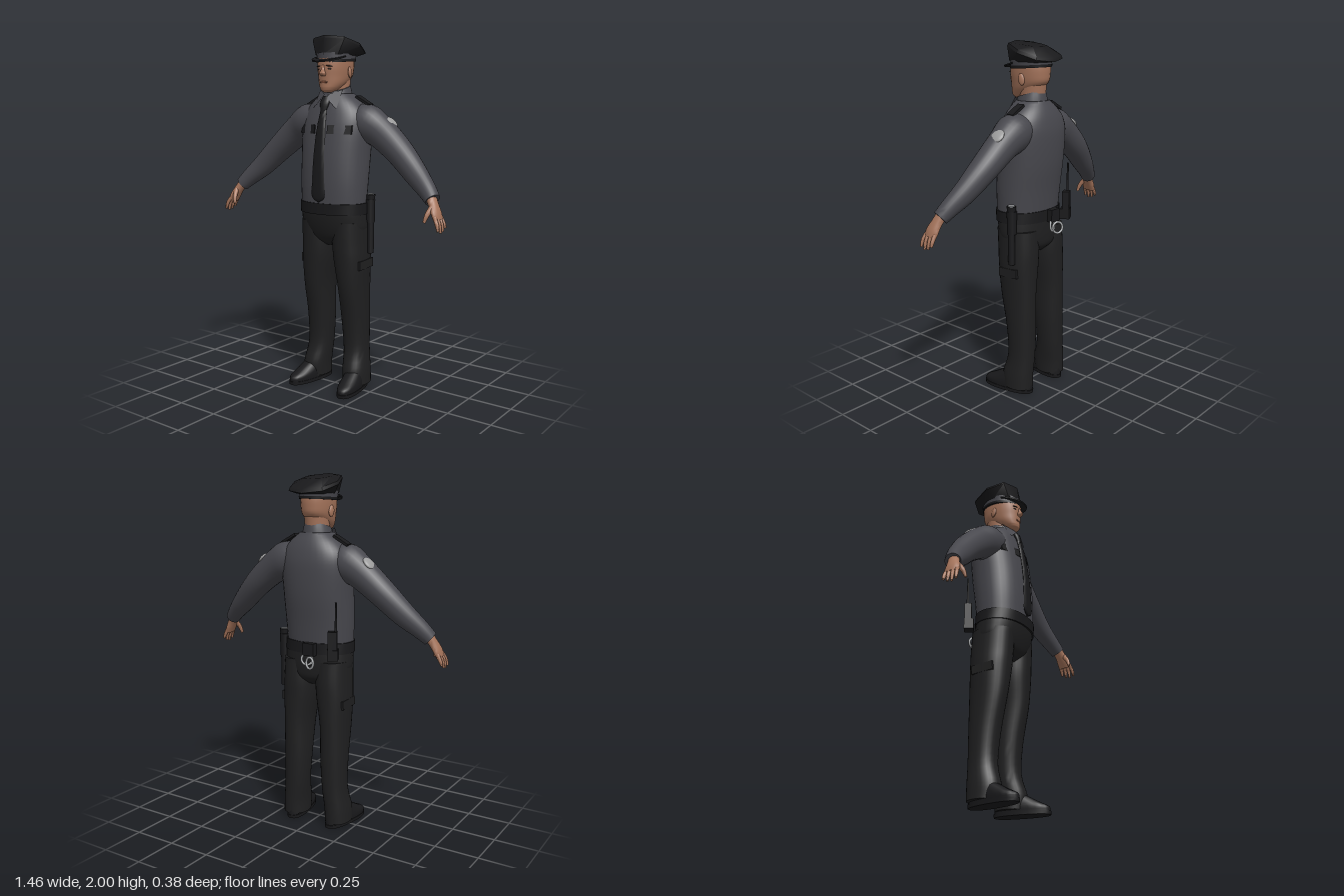
import * as THREE from 'three';
import { toCreasedNormals } from 'three/addons/utils/BufferGeometryUtils.js';

const material = (name, color) => {
  const m = new THREE.MeshStandardMaterial({ color });
  m.name = name;
  return m;
};

// Skin over sections [x, y, z, radiusA, radiusB, tilt]; level keeps the rings horizontal, p sets squareness
function loft(sections, { n = 24, steps = 4, level = false, p = 2, crease = 0.9 } = {}) {
  const centres = new THREE.CatmullRomCurve3(sections.map(s => new THREE.Vector3(s[0], s[1], s[2])), false, 'catmullrom');
  const radii = new THREE.CatmullRomCurve3(sections.map(s => new THREE.Vector3(s[3], s[4], s[5] || 0)), false, 'catmullrom');
  const last = (sections.length - 1) * steps, pos = [], index = [];
  const ref = new THREE.Vector3(0, 0, 1), up = new THREE.Vector3(0, 1, 0);
  const pw = v => Math.sign(v) * Math.pow(Math.abs(v), 2 / p);
  const rising = sections[sections.length - 1][1] > sections[0][1];
  const ring = (t, k) => {
    const c = centres.getPoint(t), r = radii.getPoint(t);
    const T = level ? up.clone().multiplyScalar(rising ? 1 : -1) : centres.getTangent(t);
    const A = T.clone().cross(ref).normalize(), B = A.clone().cross(T).normalize();
    for (let j = 0; j < n; j++) {
      const a = j / n * Math.PI * 2;
      const v = A.clone().multiplyScalar(pw(Math.cos(a)) * r.x * k).addScaledVector(B, pw(Math.sin(a)) * r.y * k);
      v.y += r.z * v.z;
      pos.push(c.x + v.x, c.y + v.y, c.z + v.z);
    }
  };
  ring(0, 0);
  for (let i = 0; i <= last; i++) ring(i / last, 1);
  ring(1, 0);
  for (let i = 0; i < last + 2; i++) for (let j = 0; j < n; j++) {
    const a = i * n + j, c = i * n + (j + 1) % n;
    index.push(a, a + n, c, a + n, c + n, c);
  }
  const g = new THREE.BufferGeometry();
  g.setAttribute('position', new THREE.Float32BufferAttribute(pos, 3));
  g.setIndex(index);
  return toCreasedNormals(g, crease);
}

export function createModel() {
  const model = new THREE.Group();
  model.name = 'uniformedOfficer';
  const shirt = material('shirtGrey', 0x47474d), trousers = material('trouserBlack', 0x1f1f20);
  const black = material('gearBlack', 0x19191b), skin = material('skin', 0xa5745b);
  const patch = material('patchGrey', 0x9c9c9c), metal = material('metal', 0xa6a8aa);
  const lip = material('lip', 0x85543f), dark = material('eyeDark', 0x33251f);
  shirt.side = THREE.DoubleSide;

  const add = (name, geo, mat, at = [0, 0, 0], rot = [0, 0, 0], scale = [1, 1, 1]) => {
    const m = new THREE.Mesh(geo, mat);
    m.name = name;
    m.position.set(...at);
    m.rotation.set(...rot);
    m.scale.set(...scale);
    model.add(m);
    return m;
  };
  const ball = new THREE.SphereGeometry(1, 20, 14);
  const box = (x, y, z) => new THREE.BoxGeometry(x, y, z);
  const body = { level: true, p: 2.2, n: 36 };

  // Shirt body and collar
  add('shirtBody', loft([[0, 1.06, 0.008, 0.197, 0.14], [0, 1.2, 0.002, 0.203, 0.15], [0, 1.35, -0.012, 0.206, 0.157],
    [0, 1.5, -0.025, 0.212, 0.15], [0, 1.58, -0.03, 0.198, 0.135], [0, 1.64, -0.03, 0.152, 0.115],
    [0, 1.69, -0.028, 0.09, 0.088]], body), shirt);
  add('collar', loft([[0, 1.65, -0.02, 0.092, 0.094, -0.2], [0, 1.69, -0.02, 0.082, 0.087, -0.26],
    [0, 1.722, -0.02, 0.073, 0.08, -0.28]], { level: true }), shirt);

  // Tie with its knot
  add('tie', loft([[0, 1.095, 0.154, 0.006, 0.006], [0, 1.125, 0.156, 0.044, 0.009], [0, 1.2, 0.156, 0.043, 0.009],
    [0, 1.35, 0.149, 0.037, 0.009], [0, 1.5, 0.128, 0.029, 0.009], [0, 1.6, 0.104, 0.02, 0.01]], { level: true, n: 12 }), black);
  add('tieKnot', loft([[0, 1.595, 0.105, 0.018, 0.012], [0, 1.64, 0.092, 0.029, 0.018], [0, 1.675, 0.075, 0.022, 0.014]],
    { level: true, n: 12 }), black);

  // Trousers seat and belt
  add('trouserSeat', loft([[0, 0.84, -0.015, 0.06, 0.07], [0, 0.88, -0.014, 0.15, 0.112], [0, 0.93, -0.008, 0.198, 0.128],
    [0, 1.0, 0, 0.203, 0.138], [0, 1.08, 0.006, 0.2, 0.142]], body), trousers);
  add('belt', loft([[0, 1.025, 0.005, 0.207, 0.146], [0, 1.088, 0.007, 0.206, 0.147]], { ...body, steps: 1 }), black);

  for (const s of [1, -1]) {
    const dz = s < 0 ? 0.04 : 0; // the right arm sits slightly further forward
    const P = (x, y, z, ...r) => [x * s, y, z + dz, ...r];

    // Sleeve
    add('sleeve', loft([P(0.09, 1.56, -0.045, 0.07, 0.085), P(0.18, 1.53, -0.05, 0.106, 0.1), P(0.275, 1.478, -0.055, 0.09, 0.085),
      P(0.4, 1.378, -0.047, 0.077, 0.076), P(0.515, 1.27, -0.022, 0.066, 0.06), P(0.6, 1.195, 0.008, 0.052, 0.049),
      P(0.65, 1.145, 0.03, 0.042, 0.043)]), shirt);
    add('sleevePatch', ball, patch, P(0.33, 1.533, -0.07), [0, 0, -s * 0.78], [0.043, 0.015, 0.042]);
    add('shoulderTab', box(0.1, 0.014, 0.045), black, P(0.165, 1.65, -0.05 - dz * 0.7), [0, 0, -s * 0.5]);

    // Hand with fingers and thumb
    add('palm', loft([P(0.635, 1.165, 0.028, 0.028, 0.032), P(0.664, 1.12, 0.042, 0.024, 0.034), P(0.686, 1.08, 0.053, 0.021, 0.043),
      P(0.699, 1.048, 0.057, 0.016, 0.04)], { n: 16 }), skin);
    for (let f = 0; f < 4; f++) {
      const z = 0.025 + f * 0.021, drop = [0.055, 0.07, 0.075, 0.065][f];
      add('finger', loft([P(0.695, 1.065, z, 0.011, 0.011), P(0.714, 1.03, z + 0.003 * f, 0.0105, 0.0105),
        P(0.724, 1.06 - drop, z + 0.004 * f, 0.007, 0.007)], { n: 10 }), skin);
    }
    add('thumb', loft([P(0.668, 1.115, 0.065, 0.016, 0.016), P(0.655, 1.075, 0.095, 0.013, 0.013),
      P(0.645, 1.035, 0.108, 0.008, 0.008)], { n: 10 }), skin);

    // Trouser leg, with a flap for the thigh pocket
    const L = (y, x, z, rx, rz) => [s * (x + (s < 0 ? 0.017 * Math.max(0, 1 - y / 0.9) : 0)), y, z, rx, rz];
    add('trouserLeg', loft([L(0.03, 0.135, -0.035, 0.073, 0.09), L(0.11, 0.133, -0.033, 0.072, 0.094), L(0.23, 0.122, -0.05, 0.07, 0.08),
      L(0.4, 0.118, -0.045, 0.075, 0.088), L(0.6, 0.118, -0.026, 0.08, 0.108), L(0.76, 0.11, -0.018, 0.095, 0.118),
      L(0.86, 0.106, -0.015, 0.097, 0.122), L(0.98, 0.105, -0.008, 0.095, 0.122)], { ...body, n: 28 }), trousers);
    add('pocketFlap', box(0.014, 0.05, 0.13), trousers, [s * 0.2, 0.74, -0.02], [s * 0.06, 0, 0]);

    // Shoe and sole, toes turned out
    const shoeAt = [s * (s < 0 ? 0.153 : 0.143), 0, 0], turn = [0, s * 0.17, 0];
    add('shoe', loft([[0, 0.015, 0.028, 0.054, 0.157], [0, 0.045, 0.026, 0.056, 0.153], [0, 0.075, 0, 0.054, 0.122],
      [0, 0.12, -0.035, 0.045, 0.075]], { level: true, p: 2.4 }), black, shoeAt, turn);
    add('sole', loft([[0, 0, 0.028, 0.056, 0.159], [0, 0.02, 0.028, 0.057, 0.161]], { level: true, p: 2.4, steps: 1 }), black, shoeAt, turn);

    // Chest pocket flap curved over the shirt
    const flap = box(0.128, 0.048, 0.012, 14, 1, 1), v = flap.attributes.position;
    for (let i = 0; i < v.count; i++) {
      const x = Math.abs(v.getX(i) + s * 0.107);
      v.setZ(i, v.getZ(i) - 0.025 + 0.152 * Math.pow(1 - Math.pow(x / 0.218, 2.2), 1 / 2.2) - v.getY(i) * 0.17);
    }
    flap.computeVertexNormals();
    add('chestPocketFlap', flap, black, [s * 0.107, 1.495, 0]);

    // Collar point
    const lapel = new THREE.BufferGeometry().setFromPoints([[0.012, 1.685, 0.078], [0.077, 1.712, 0.03], [0.08, 1.605, 0.096],
      [0.012, 1.685, 0.078], [0.08, 1.605, 0.096], [0.022, 1.66, 0.1]].map(q => new THREE.Vector3(q[0] * s, q[1], q[2])));
    if (s > 0) lapel.setIndex([0, 2, 1, 3, 5, 4]); else lapel.setIndex([0, 1, 2, 3, 4, 5]);
    lapel.computeVertexNormals();
    add('collarPoint', lapel, shirt);

    // Ear, eye and brow
    add('ear', ball, skin, [s * 0.087, 1.805, -0.022], [0.15, s * 0.3, 0], [0.01, 0.032, 0.019]);
    add('eye', ball, dark, [s * 0.034, 1.822, 0.098], [0, s * 0.3, 0], [0.013, 0.005, 0.005]);
    add('brow', ball, dark, [s * 0.035, 1.838, 0.1], [0, s * 0.3, -s * 0.1], [0.02, 0.004, 0.006]);
  }

  // Neck, head, nose and mouth
  add('neck', loft([[0, 1.66, -0.025, 0.063, 0.07], [0, 1.78, -0.03, 0.068, 0.08]], { level: true }), skin);
  add('head', loft([[0, 1.696, 0.06, 0.022, 0.027], [0, 1.712, 0.047, 0.046, 0.056], [0, 1.745, 0.02, 0.068, 0.084],
    [0, 1.785, -0.006, 0.08, 0.113], [0, 1.83, -0.01, 0.087, 0.12], [0, 1.88, -0.012, 0.088, 0.118],
    [0, 1.92, -0.015, 0.078, 0.1]], { level: true, p: 2.15, crease: 1.4 }), skin);
  add('nose', loft([[0, 1.783, 0.104, 0.014, 0.01], [0, 1.797, 0.112, 0.018, 0.021], [0, 1.815, 0.109, 0.011, 0.015],
    [0, 1.843, 0.103, 0.008, 0.008]], { level: true, n: 12, crease: 1.4 }), skin);
  add('mouth', ball, lip, [0, 1.751, 0.102], [0, 0, 0], [0.026, 0.006, 0.006]);

  // Peaked cap: band, trim, faceted crown and visor
  add('capBand', loft([[0, 1.87, -0.015, 0.099, 0.121, -0.06], [0, 1.912, -0.017, 0.103, 0.123, -0.02]], { level: true, steps: 1, n: 32 }), shirt);
  add('capTrim', loft([[0, 1.863, -0.015, 0.1, 0.123, -0.06], [0, 1.878, -0.015, 0.101, 0.124, -0.06]], { level: true, steps: 1, n: 32 }), black);
  add('capCrown', loft([[0, 1.897, -0.017, 0.103, 0.124, 0.02], [0, 1.945, -0.043, 0.145, 0.14, 0.33], [0, 1.962, -0.042, 0.138, 0.133, 0.32],
    [0, 1.987, -0.015, 0.08, 0.085, 0.14]], { level: true, steps: 1, n: 8, p: 2.3, crease: 0.75 }), black);
  const peak = new THREE.Shape();
  peak.absellipse(0, 0, 0.102, 0.118, 0, Math.PI, false);
  peak.absellipse(0, 0, 0.094, 0.068, Math.PI, 0, true);
  add('capVisor', new THREE.ExtrudeGeometry(peak, { depth: 0.008, bevelEnabled: false, curveSegments: 20 }), black,
    [0, 1.893, 0.035], [Math.PI / 2 + 0.25, 0, 0]);

  // Baton in its holder on the left hip
  add('baton', new THREE.CylinderGeometry(0.021, 0.019, 0.33, 18), black, [0.209, 0.965, -0.055]);
  add('batonHolder', new THREE.CylinderGeometry(0.028, 0.026, 0.13, 18), black, [0.206, 1.04, -0.055]);
  add('batonHead', new THREE.CylinderGeometry(0.026, 0.023, 0.03, 18), black, [0.209, 1.118, -0.055]);
  add('batonCap', new THREE.CylinderGeometry(0.019, 0.019, 0.006, 18), metal, [0.209, 1.134, -0.055]);

  // Handcuffs and their pouch at the back of the belt
  add('cuffPouch', box(0.07, 0.07, 0.035), black, [-0.03, 1.055, -0.155]);
  for (const s of [1, -1])
    add('handcuff', new THREE.TorusGeometry(0.031, 0.007, 8, 24), metal, [-0.03 + s * 0.014, 0.99 + s * 0.008, -0.168 + s * 0.008], [0.1, s * 0.35, 0]);

  // Radio with aerial
  const turn = [0, 0.5, 0];
  add('radio', box(0.052, 0.15, 0.04), black, [-0.168, 1.09, -0.138], turn);
  add('radioClip', box(0.06, 0.06, 0.055), black, [-0.166, 1.035, -0.133], turn);
  add('radioAerial', new THREE.CylinderGeometry(0.005, 0.007, 0.17, 10), black, [-0.185, 1.24, -0.132]);

  return model;
}
